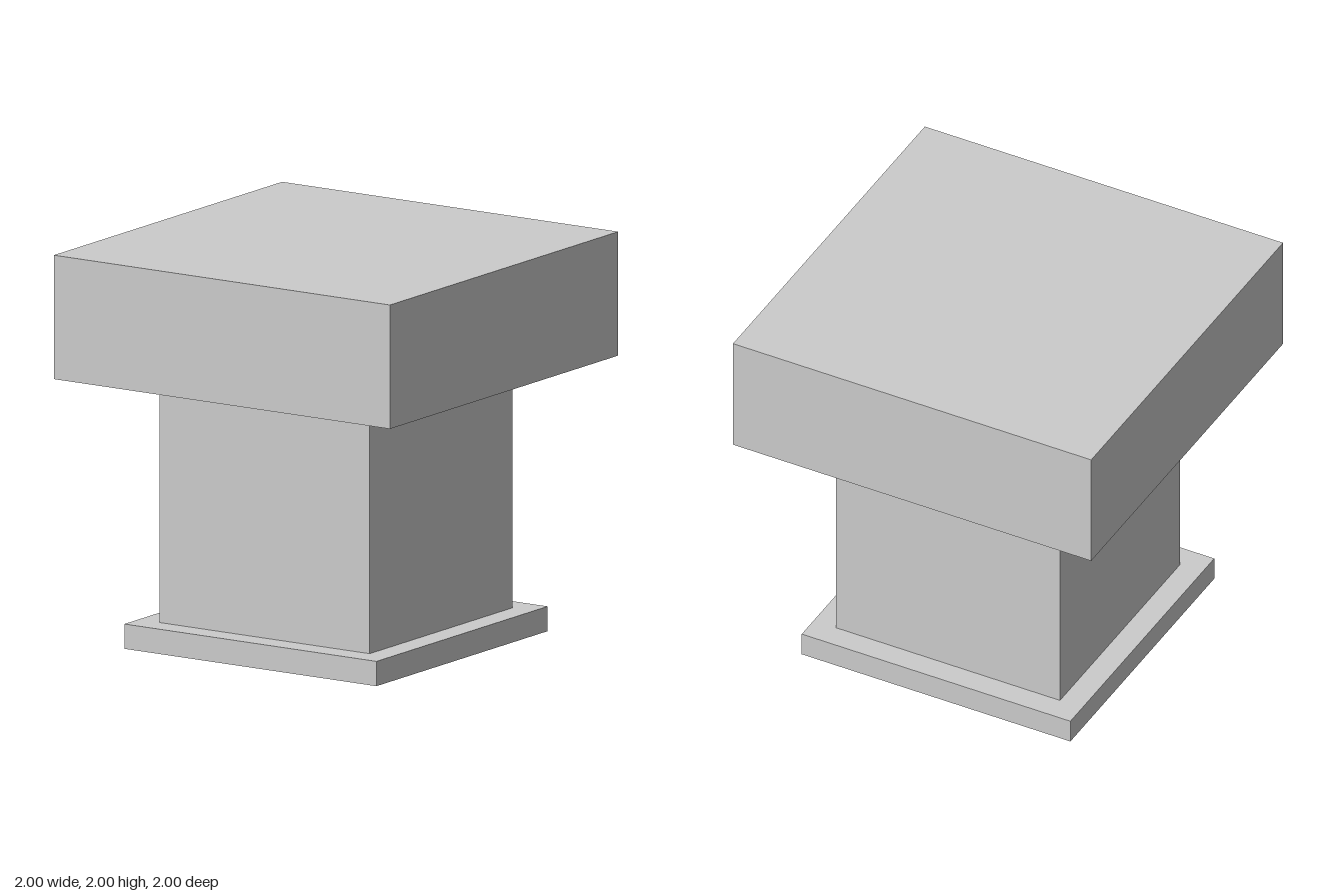
import * as THREE from 'three';

export function createModel() {
  const model = new THREE.Group();
  model.name = 'pedestal';
  const material = new THREE.MeshStandardMaterial({ color: 0xcccccc });

  // Square block, centred on the vertical axis, between two heights
  function addBlock(name, width, bottom, top) {
    const geometry = new THREE.BoxGeometry(width, top - bottom, width);
    const mesh = new THREE.Mesh(geometry, material);
    mesh.name = name;
    mesh.position.y = (bottom + top) / 2;
    model.add(mesh);
  }

  addBlock('basePlate', 1.5, 0, 0.125);
  addBlock('column', 1.25, 0.125, 1.375);
  addBlock('topSlab', 2, 1.375, 2);

  return model;
}
